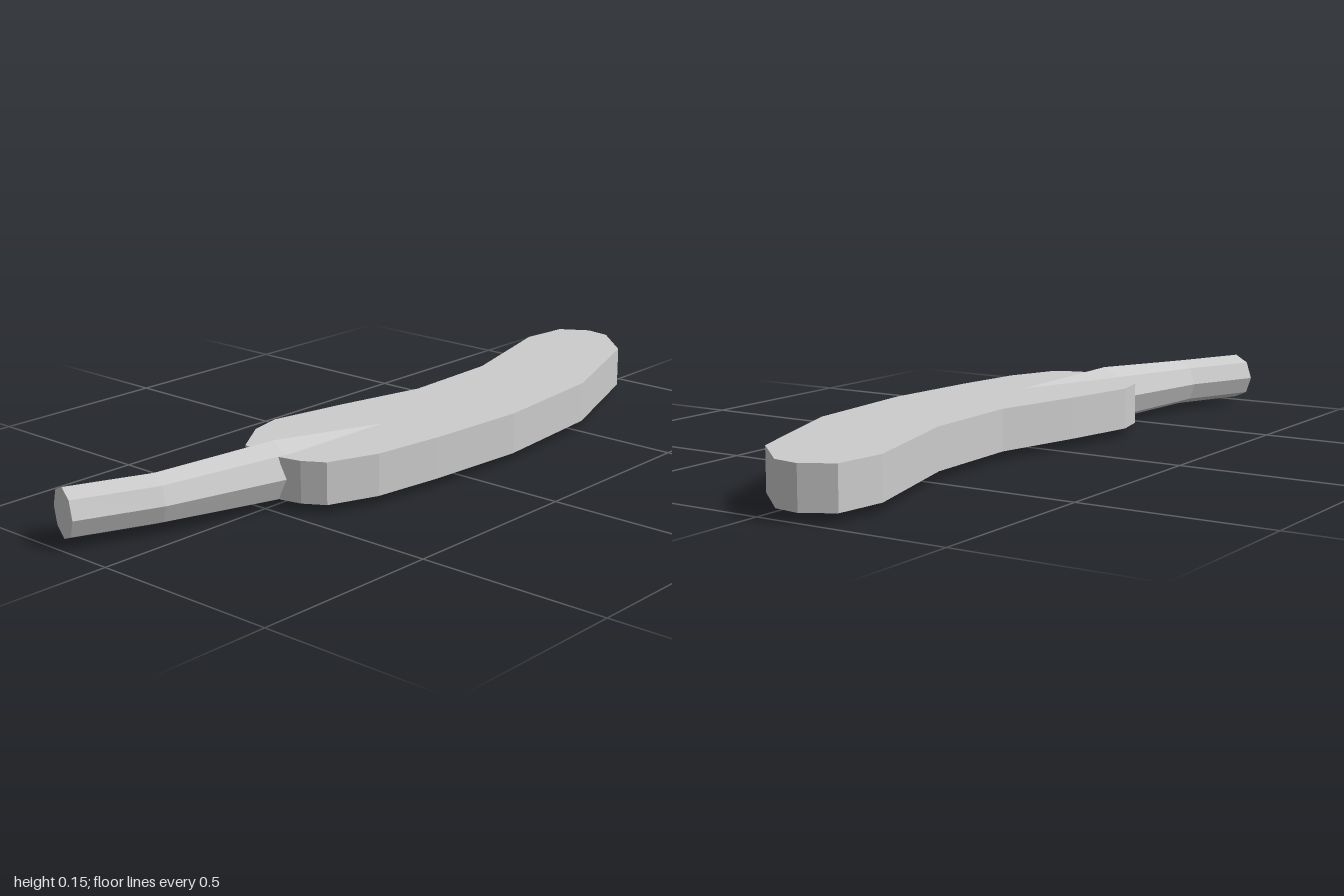
import * as THREE from 'three';

const material = new THREE.MeshStandardMaterial({ color: 0xcccccc, flatShading: true });
const MID_Y = 0.077;

// Flat slab cut from an outline given as [x, z]
function createBlade() {
  const outline = [
    [-0.1, 0.465], [0.03, 0.475], [0.085, 0.463], [0.14, 0.43], [0.19, 0.3],
    [0.215, 0.105], [0.235, -0.175], [0.205, -0.52], [0.075, -0.88],
    [-0.045, -0.99], [-0.115, -1], [-0.19, -0.955], [-0.205, -0.82],
    [-0.11, -0.475], [-0.1, -0.185], [-0.155, 0.055], [-0.195, 0.265], [-0.175, 0.355],
  ];
  const shape = new THREE.Shape(outline.map(([x, z]) => new THREE.Vector2(x, -z)));
  const thickness = 0.108;
  const geometry = new THREE.ExtrudeGeometry(shape, { depth: thickness, bevelEnabled: false });
  geometry.rotateX(-Math.PI / 2).translate(0, MID_Y - thickness / 2, 0);
  const mesh = new THREE.Mesh(geometry, material);
  mesh.name = 'blade';
  return mesh;
}

// Octagonal bent grip, lofted from the free end into the blade
function createHandle() {
  const sides = 8;
  // centre x, centre z, radius, turn of the section about y
  const sections = [
    [-0.177, 0.97, 0.063, 0.34],
    [-0.093, 0.767, 0.063, 0.3],
    [-0.026, 0.445, 0.077, 0.15],
    [0.055, 0, 0.046, 0.18],
  ];
  const positions = [];
  const index = [];
  for (const [x, z, r, turn] of sections) {
    for (let k = 0; k < sides; k++) {
      const a = (k / sides) * Math.PI * 2;
      const side = Math.cos(a) * r;
      positions.push(x + side * Math.cos(turn), MID_Y + Math.sin(a) * r, z + side * Math.sin(turn));
    }
  }
  const last = (sections.length - 1) * sides;
  for (let k = 0; k < sides; k++) {
    const n = (k + 1) % sides;
    for (let s = 0; s < last; s += sides) {
      const a = s + k, b = s + n, c = a + sides, d = b + sides;
      index.push(a, c, b, b, c, d);
    }
    // end caps as fans
    if (k > 0 && k < sides - 1) index.push(0, k, n, last, last + n, last + k);
  }
  const geometry = new THREE.BufferGeometry();
  geometry.setAttribute('position', new THREE.Float32BufferAttribute(positions, 3));
  geometry.setIndex(index);
  const flat = geometry.toNonIndexed();
  flat.computeVertexNormals();
  const mesh = new THREE.Mesh(flat, material);
  mesh.name = 'handle';
  return mesh;
}

export function createModel() {
  const group = new THREE.Group();
  group.name = 'curvedPaddle';
  group.add(createBlade(), createHandle());
  return group;
}
